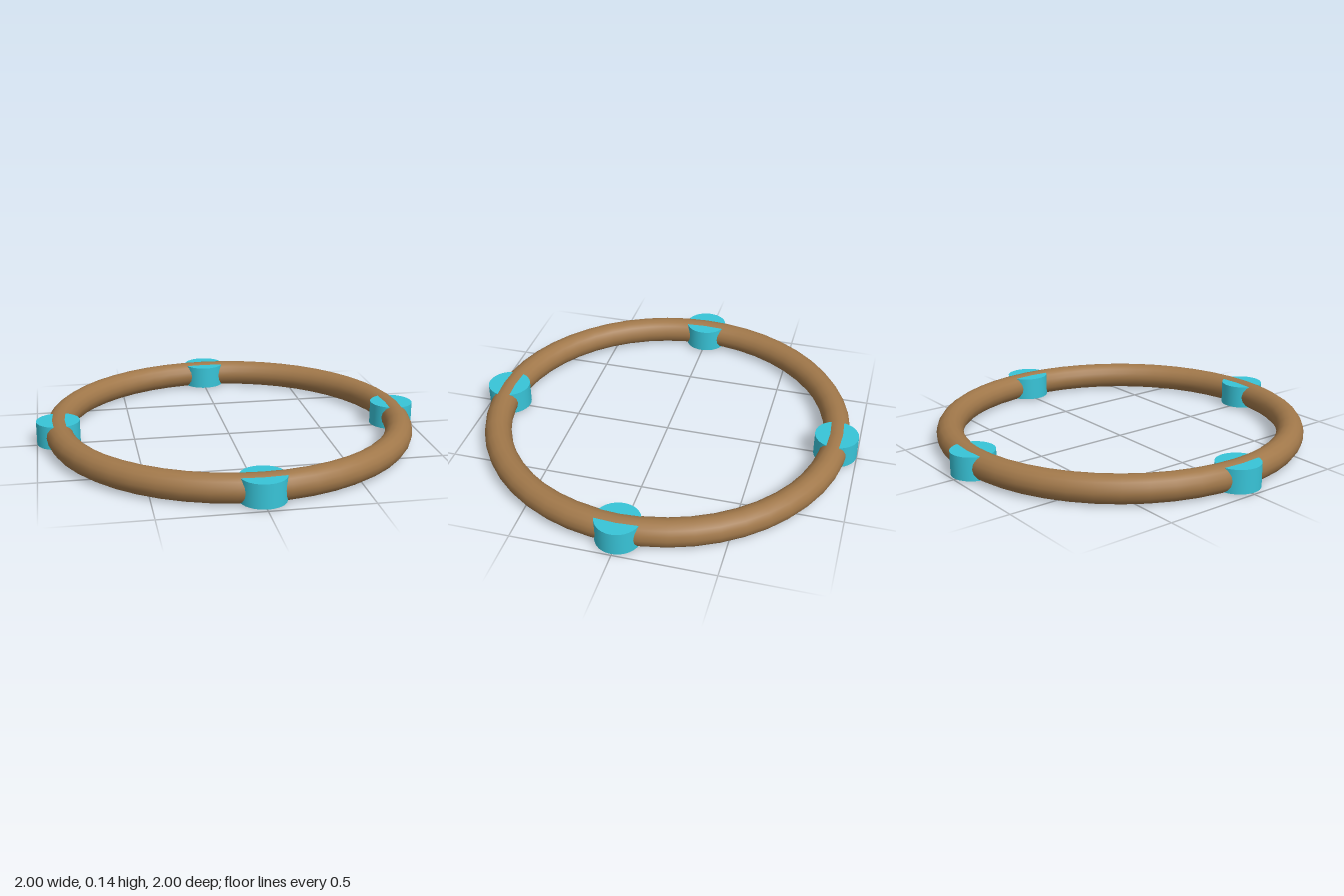
import * as THREE from 'three';

const RING_RADIUS = 0.887;
const TUBE_RADIUS = 0.069;

export function createModel() {
  const model = new THREE.Group();
  model.name = 'studdedRing';

  const wood = new THREE.MeshStandardMaterial({ color: 0xa1784a });
  wood.name = 'brown wood';
  const cyan = new THREE.MeshStandardMaterial({ color: 0x38c4d8 });
  cyan.name = 'cyan';

  // Flat-lying ring
  const ring = new THREE.Mesh(new THREE.TorusGeometry(RING_RADIUS, TUBE_RADIUS, 16, 48), wood);
  ring.name = 'ring';
  ring.rotation.x = -Math.PI / 2;
  ring.position.y = TUBE_RADIUS;
  model.add(ring);

  // Four upright discs threaded by the ring, one per quarter turn
  const discGeometry = new THREE.CylinderGeometry(0.111, 0.111, 0.12, 32);
  for (let i = 0; i < 4; i++) {
    const angle = (i * Math.PI) / 2;
    const disc = new THREE.Mesh(discGeometry, cyan);
    disc.name = `disc${i + 1}`;
    disc.position.set(Math.cos(angle) * 0.889, TUBE_RADIUS, Math.sin(angle) * 0.889);
    model.add(disc);
  }
  return model;
}
